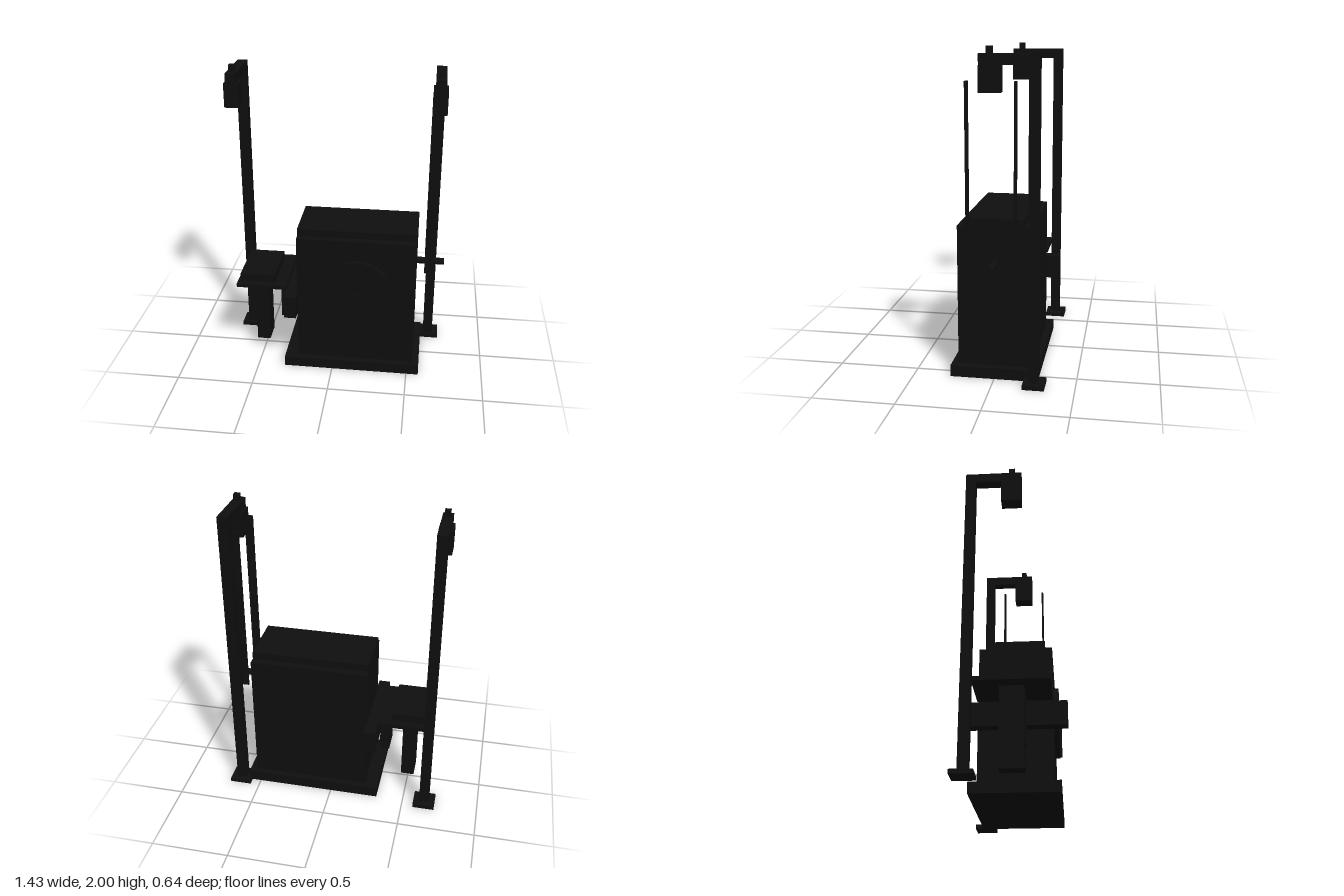
import * as THREE from 'three';

export function createModel() {
  const model = new THREE.Group();
  const black = new THREE.MeshStandardMaterial({ color: 0x0f0f0f });
  black.name = 'black';

  const add = (name, geometry, parent = model) => {
    const mesh = new THREE.Mesh(geometry, black);
    mesh.name = name;
    parent.add(mesh);
    return mesh;
  };
  // Box given by its limits on each axis
  const box = (name, [x0, x1], [y0, y1], [z0, z1], parent) => {
    const mesh = add(name, new THREE.BoxGeometry(x1 - x0, y1 - y0, z1 - z0), parent);
    mesh.position.set((x0 + x1) / 2, (y0 + y1) / 2, (z0 + z1) / 2);
    return mesh;
  };

  // Cabinet with plinth and stepped lid
  box('plinth', [-0.32, 0.58], [0, 0.07], [-0.268, 0.272]);
  box('cabinet', [-0.233, 0.535], [0.07, 0.945], [-0.225, 0.23]);
  box('lid', [-0.233, 0.535], [0.945, 0.993], [-0.175, 0.185]);

  // Round dial and its pointer
  const dial = add('dial', new THREE.CylinderGeometry(0.226, 0.226, 0.03, 32));
  dial.rotation.x = Math.PI / 2;
  dial.position.set(0.16, 0.585, 0.245);
  box('dialPointer', [0.136, 0.18], [0.36, 0.585], [0.25, 0.274]);

  // Side table
  box('tablePlate', [-0.638, -0.305], [0.563, 0.588], [-0.222, 0.226]);
  box('tableTop', [-0.62, -0.39], [0.588, 0.64], [-0.17, 0.18]);
  box('tableLeg', [-0.547, -0.459], [0.073, 0.563], [-0.07, 0.075]);
  box('tableBracket', [-0.37, -0.305], [0.272, 0.563], [-0.07, 0.075]);
  box('crossBlock', [-0.307, -0.23], [0.408, 0.56], [-0.31, 0.318]);

  // Lamp posts, one on each side
  for (const [side, x] of [['left', 0.632], ['right', -0.646]]) {
    const post = new THREE.Group();
    post.name = side + 'LampPost';
    post.position.x = x;
    model.add(post);
    box('postFoot', [-0.071, 0.071], [0, 0.026], [-0.32, -0.187], post);
    box('post', [-0.032, 0.032], [0.026, 1.895], [-0.28, -0.218], post);
    box('postArm', [-0.032, 0.032], [1.895, 1.958], [-0.28, 0.068], post);
    box('lamp', [-0.045, 0.045], [1.742, 1.895], [-0.057, 0.068], post);
    box('lampCap', [-0.018, 0.018], [1.958, 2], [-0.01, 0.026], post);
  }

  // Hanging straps and the side rod
  for (const z of [0.148, -0.136]) {
    box('strap', [0.586, 0.64], [0.71, 1.805], [z - 0.006, z + 0.006]);
  }
  const rod = add('sideRod', new THREE.CylinderGeometry(0.022, 0.022, 0.18, 12));
  rod.rotation.z = Math.PI / 2;
  rod.position.set(0.623, 0.723, 0);

  return model;
}
